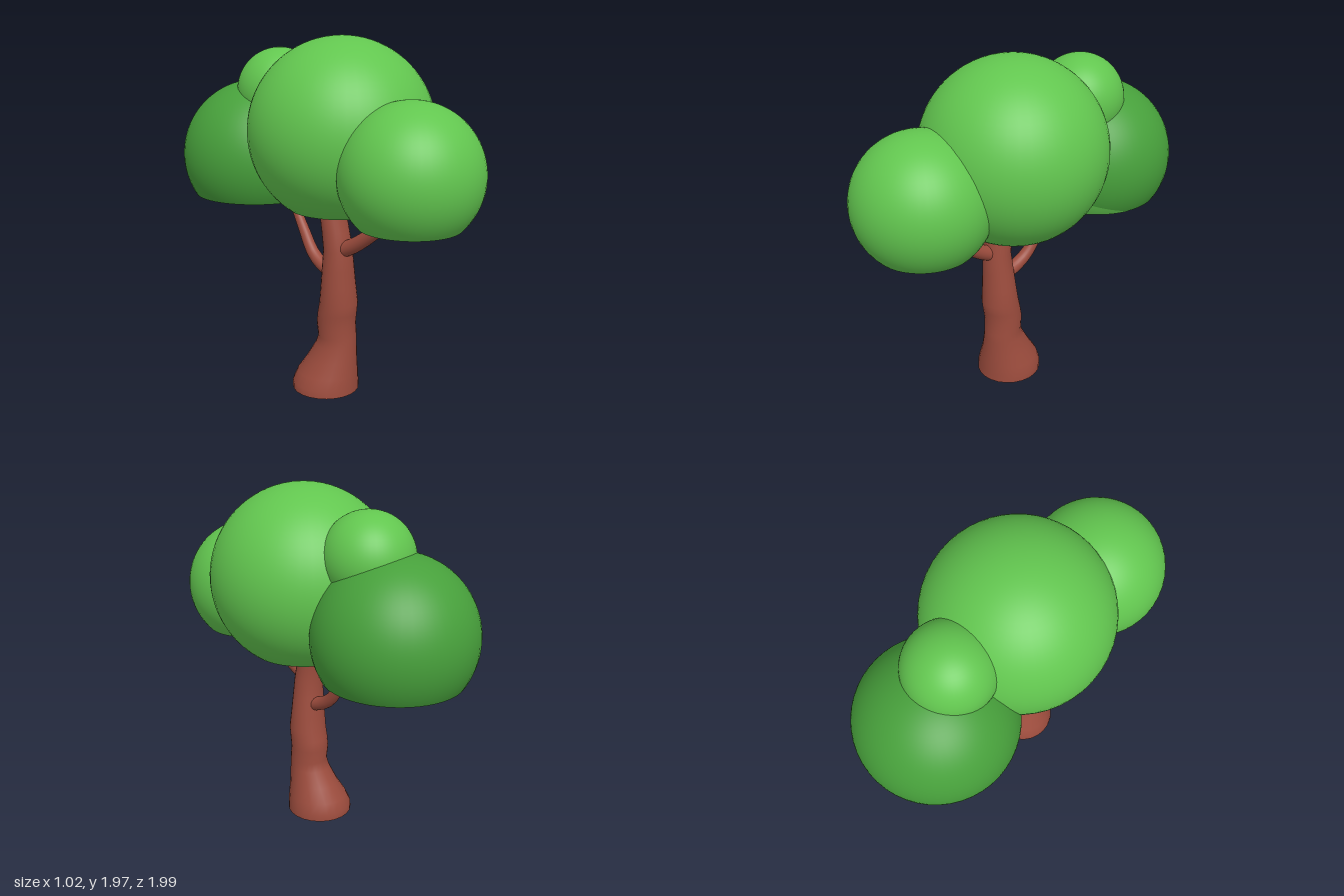
import * as THREE from 'three';
import { mergeVertices } from 'three/addons/utils/BufferGeometryUtils.js';

const CUT = 1.04; // height of the flat underside of the foliage

export function createModel() {
  const lightLeaf = new THREE.MeshStandardMaterial({ name: 'light leaf green', color: 0x62c64f });
  const darkLeaf = new THREE.MeshStandardMaterial({ name: 'dark leaf green', color: 0x47a03b });
  const bark = new THREE.MeshStandardMaterial({ name: 'red brown bark', color: 0x9c4c3d, side: THREE.DoubleSide });

  const tree = new THREE.Group();
  tree.name = 'tree';

  function add(name, geometry, material, parent = tree) {
    const mesh = new THREE.Mesh(geometry, material);
    mesh.name = name;
    parent.add(mesh);
    return mesh;
  }

  // Loft through level elliptical or tilted round rings, smooth across the seam
  function loft(rings, ringPoint) {
    const g = new THREE.CylinderGeometry(1, 1, 1, 24, rings.length - 1, true);
    const p = g.attributes.position;
    for (let i = 0; i < p.count; i++) {
      const row = Math.floor(i / 25);
      const a = ((i % 25) % 24) / 24 * Math.PI * 2;
      const v = ringPoint(rings[rings.length - 1 - row], a);
      p.setXYZ(i, v.x, v.y, v.z);
    }
    g.deleteAttribute('uv');
    g.deleteAttribute('normal');
    const merged = mergeVertices(g, 1e-5);
    merged.computeVertexNormals();
    return merged;
  }

  // Trunk rings: y, x min, x max, z min, z max
  const trunkRings = [
    [0, -0.283, 0.092, -0.14, 0.238],
    [0.04, -0.281, 0.092, -0.14, 0.237],
    [0.1, -0.255, 0.08, -0.118, 0.235],
    [0.18, -0.215, 0.058, -0.065, 0.23],
    [0.27, -0.183, 0.042, -0.012, 0.227],
    [0.32, -0.177, 0.038, 0.008, 0.225],
    [0.4, -0.18, 0.037, -0.002, 0.22],
    [0.46, -0.182, 0.036, 0.008, 0.228],
    [0.52, -0.182, 0.035, 0.022, 0.235],
    [0.62, -0.18, 0.024, 0.036, 0.225],
    [0.72, -0.175, 0.01, 0.045, 0.22],
    [0.83, -0.17, -0.003, 0.057, 0.212],
    [0.93, -0.168, -0.008, 0.045, 0.192],
    [1.04, -0.167, -0.013, 0.03, 0.165],
    [1.2, -0.16, -0.025, 0.015, 0.135],
  ];
  add('trunk', loft(trunkRings, ([y, x0, x1, z0, z1], a) => new THREE.Vector3(
    (x0 + x1) / 2 + Math.sin(a) * (x1 - x0) / 2, y,
    (z0 + z1) / 2 + Math.cos(a) * (z1 - z0) / 2)), bark);

  // Tapered branch bending in the y-z plane
  function branch(name, points, r0, r1) {
    const curve = new THREE.CatmullRomCurve3(points.map(q => new THREE.Vector3(...q)));
    const rings = Array.from({ length: 13 }, (_, i) => i / 12);
    const side = new THREE.Vector3(1, 0, 0);
    add(name, loft(rings, (t, a) => {
      const up = curve.getTangentAt(t).cross(side).normalize();
      const r = r0 + (r1 - r0) * t;
      return curve.getPointAt(t).addScaledVector(side, Math.sin(a) * r).addScaledVector(up, -Math.cos(a) * r);
    }), bark);
  }
  branch('frontBranch', [[-0.09, 0.82, 0.13], [-0.09, 0.86, 0.23], [-0.085, 0.945, 0.36],
    [-0.08, 1.04, 0.47], [-0.08, 1.12, 0.54]], 0.046, 0.03);
  branch('backBranch', [[-0.07, 0.68, 0.1], [-0.07, 0.695, 0.03], [-0.065, 0.755, -0.07],
    [-0.055, 0.885, -0.16], [-0.04, 1.04, -0.262], [-0.035, 1.12, -0.31]], 0.042, 0.021);

  // Leaf ball, sliced flat where it reaches below the cut height
  function leafBall(name, x, y, z, r, material) {
    const ball = new THREE.Group();
    ball.name = name;
    ball.position.set(x, y, z);
    tree.add(ball);
    const drop = (CUT - y) / r;
    const sliced = drop > -1;
    const theta = sliced ? Math.acos(drop) : Math.PI;
    add(name + 'Crown', new THREE.SphereGeometry(r, 48, 32, 0, Math.PI * 2, 0, theta), material, ball);
    if (sliced) {
      const base = add(name + 'Underside', new THREE.CircleGeometry(r * Math.sin(theta), 48), darkLeaf, ball);
      base.rotation.x = Math.PI / 2;
      base.position.y = CUT - y;
    }
  }
  leafBall('mainFoliage', 0, 1.462, 0.08, 0.51, lightLeaf);
  leafBall('frontFoliage', -0.082, 1.305, 0.62, 0.375, lightLeaf);
  leafBall('backFoliage', -0.025, 1.268, -0.565, 0.435, darkLeaf);
  leafBall('topFoliage', 0.005, 1.648, -0.4, 0.245, lightLeaf);

  // Light wedge low on the left side of the back foliage
  const wedge = new THREE.SphereGeometry(0.437, 12, 4, Math.PI - 1.05, 0.82, 1, 1);
  const p = wedge.attributes.position;
  const bottom = Math.acos((CUT - 1.268) / 0.437);
  for (let i = 0; i < p.count; i++) {
    const u = (i % 13) / 12, v = Math.floor(i / 13) / 4;
    const phi = Math.PI - 1.05 + u * 0.82;
    const theta = bottom - (1 - v) * (1 - u) * 0.26;
    p.setXYZ(i, -Math.cos(phi) * Math.sin(theta) * 0.437, Math.cos(theta) * 0.437, Math.sin(phi) * Math.sin(theta) * 0.437);
  }
  wedge.computeVertexNormals();
  add('backFoliageLightPatch', wedge, lightLeaf).position.set(-0.025, 1.268, -0.565);

  return tree;
}
